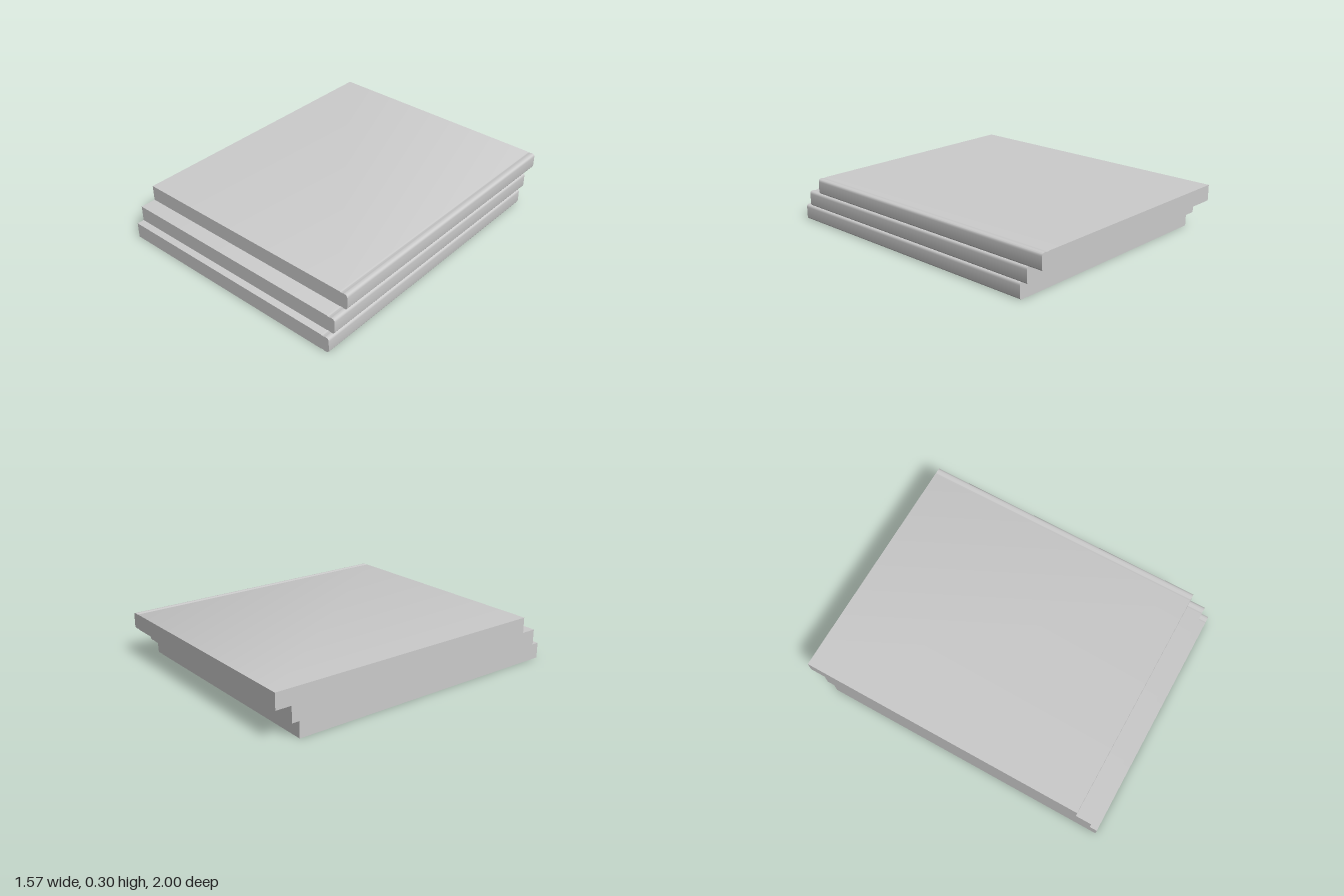
import * as THREE from 'three';
import { toCreasedNormals } from 'three/addons/utils/BufferGeometryUtils.js';

const HALF_WIDTH = 0.783, THICK = 0.1, LENGTH = 1.853;

// Cross-section: square at -x, rounded spine with shallow hinge grooves at +x
function bookProfile() {
  const w = HALF_WIDTH, t = THICK, r = 0.02, dip = 0.003;
  const s = new THREE.Shape();
  s.moveTo(-w, 0);
  s.lineTo(w - 0.055, 0);
  s.quadraticCurveTo(w - 0.042, dip * 2, w - 0.029, 0);
  s.lineTo(w - r, 0);
  s.quadraticCurveTo(w, 0, w, r);
  s.lineTo(w, t - r);
  s.quadraticCurveTo(w, t, w - r, t);
  s.lineTo(w - 0.029, t);
  s.quadraticCurveTo(w - 0.042, t - dip * 2, w - 0.055, t);
  s.lineTo(-w, t);
  s.closePath();
  return s;
}

export function createModel() {
  const group = new THREE.Group();
  group.name = 'bookStack';
  const material = new THREE.MeshStandardMaterial({ color: 0xcccccc });
  const extruded = new THREE.ExtrudeGeometry(bookProfile(), {
    depth: LENGTH, bevelEnabled: false, curveSegments: 6,
  });
  const geometry = toCreasedNormals(extruded, 0.6);

  // Each book slides further back than the one below
  const books = [['bottomBook', -0.853], ['middleBook', -0.9], ['topBook', -1]];
  books.forEach(([name, backZ], i) => {
    const book = new THREE.Mesh(geometry, material);
    book.name = name;
    book.position.set(0, i * THICK, backZ);
    group.add(book);
  });
  return group;
}
